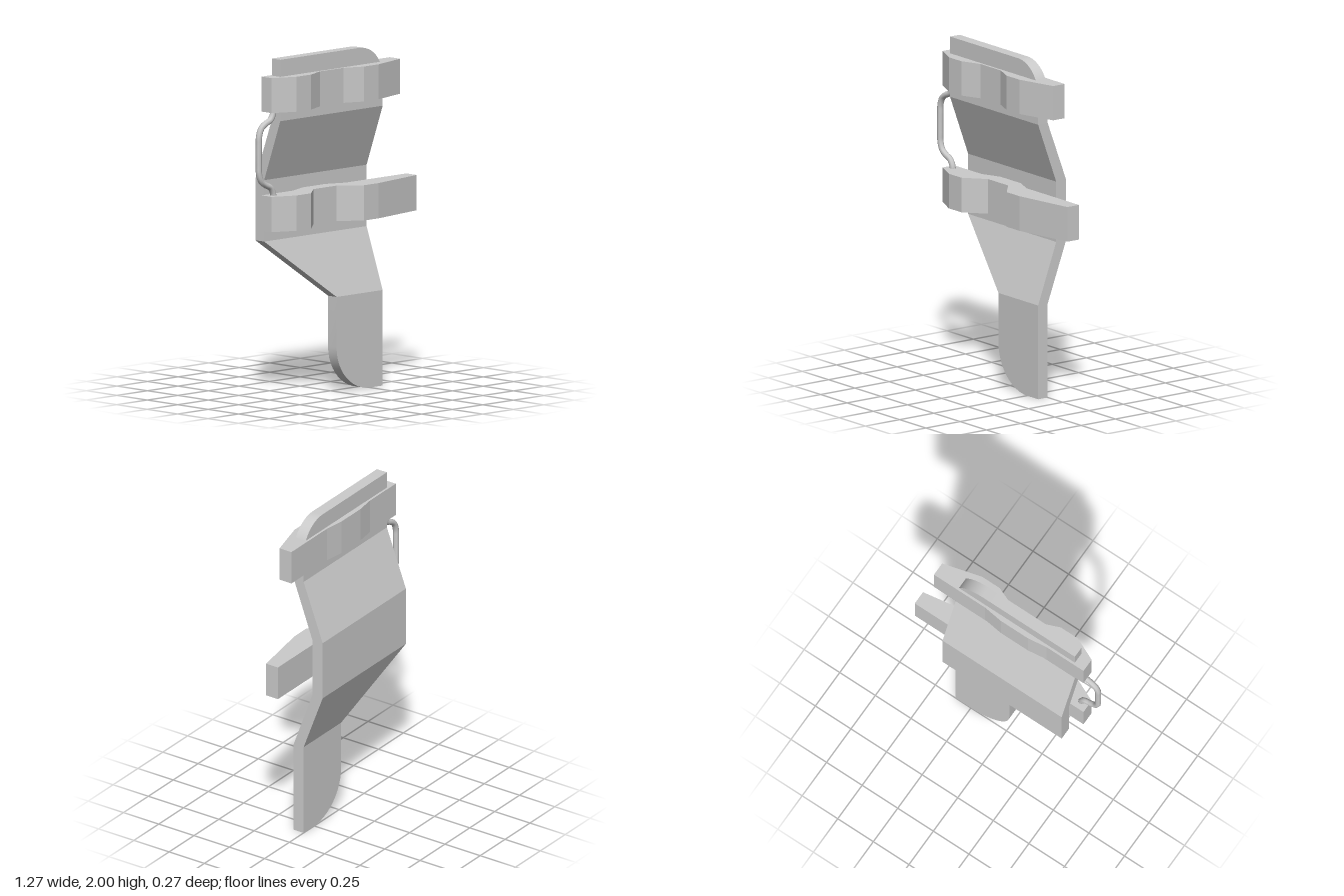
import * as THREE from 'three';
import { toCreasedNormals } from 'three/addons/utils/BufferGeometryUtils.js';

const material = new THREE.MeshStandardMaterial({ color: 0xcccccc });

function addMesh(group, name, geometry) {
  const mesh = new THREE.Mesh(geometry, material);
  mesh.name = name;
  group.add(mesh);
}

// Bent sheet: each row is a four-cornered section [y, left x, right x, front z, back z]
function plateGeometry() {
  const rows = [];
  const steps = 12;
  // rounded lower corner
  for (let i = 0; i <= steps; i++) {
    const a = (i / steps) * Math.PI / 2;
    rows.push([0.265 - 0.265 * Math.cos(a), 0.255 - 0.275 * Math.sin(a), 0.357, 0.07, 0]);
  }
  // bends
  rows.push([0.56, -0.02, 0.357, 0.07, 0]);
  rows.push([0.92, -0.48, 0.357, -0.062, -0.135]);
  rows.push([1.28, -0.48, 0.357, -0.062, -0.135]);
  rows.push([1.64, -0.48, 0.357, 0.07, 0]);
  // rounded upper corner
  for (let i = 0; i <= steps; i++) {
    const a = (i / steps) * Math.PI / 2;
    rows.push([1.81 + 0.19 * Math.sin(a), -0.48, 0.167 + 0.19 * Math.cos(a), 0.07, 0]);
  }

  const positions = [];
  const index = [];
  for (const [y, l, r, f, b] of rows) positions.push(l, y, f, r, y, f, r, y, b, l, y, b);
  for (let i = 0; i < rows.length - 1; i++) {
    for (let k = 0; k < 4; k++) {
      const a = i * 4 + k, b = i * 4 + (k + 1) % 4;
      index.push(a, b, b + 4, a, b + 4, a + 4);
    }
  }
  const t = (rows.length - 1) * 4;
  index.push(0, 3, 2, 0, 2, 1, t, t + 1, t + 2, t, t + 2, t + 3);
  const geometry = new THREE.BufferGeometry();
  geometry.setAttribute('position', new THREE.Float32BufferAttribute(positions, 3));
  geometry.setIndex(index);
  return toCreasedNormals(geometry, 0.3);
}

// Crossbar: plan outline with a recess in the middle, raised to its height
function barGeometry(rightEnd, dipFront, dipBack, bottom, height) {
  const outline = [
    [-0.55, 0.07], [-0.41, 0.133], [-0.29, 0.133], [-0.17, dipFront], [0.02, dipFront],
    [0.14, 0.133], [0.26, 0.133], [rightEnd, 0.07], [rightEnd, -0.014],
    [0.14, -0.014], [0.02, dipBack], [-0.17, dipBack], [-0.29, -0.014], [-0.55, -0.014],
  ];
  const shape = new THREE.Shape(outline.map(([x, z]) => new THREE.Vector2(x, -z)));
  const geometry = new THREE.ExtrudeGeometry(shape, { depth: height, bevelEnabled: false });
  geometry.rotateX(-Math.PI / 2);
  geometry.translate(0, bottom, 0);
  return geometry;
}

// Side loop: S-bends at both ends, mirrored about its middle height
function loopGeometry() {
  const mid = 1.45, z = 0.034;
  const half = [[-0.5, 0.27], [-0.503, 0.235], [-0.525, 0.198], [-0.565, 0.18],
    [-0.6, 0.155], [-0.618, 0.11], [-0.62, 0.06]];
  const points = [
    ...half.map(([x, d]) => new THREE.Vector3(x, mid + d, z)),
    ...half.slice().reverse().map(([x, d]) => new THREE.Vector3(x, mid - d, z)),
  ];
  return new THREE.TubeGeometry(new THREE.CatmullRomCurve3(points), 48, 0.018, 8, false);
}

export function createModel() {
  const group = new THREE.Group();
  group.name = 'bentPlateBracket';
  addMesh(group, 'bentPlate', plateGeometry());
  addMesh(group, 'upperCrossbar', barGeometry(0.5, 0.085, -0.03, 1.695, 0.205));
  addMesh(group, 'lowerCrossbar', barGeometry(0.635, 0.03, -0.061, 0.997, 0.207));
  addMesh(group, 'sideLoop', loopGeometry());
  return group;
}
